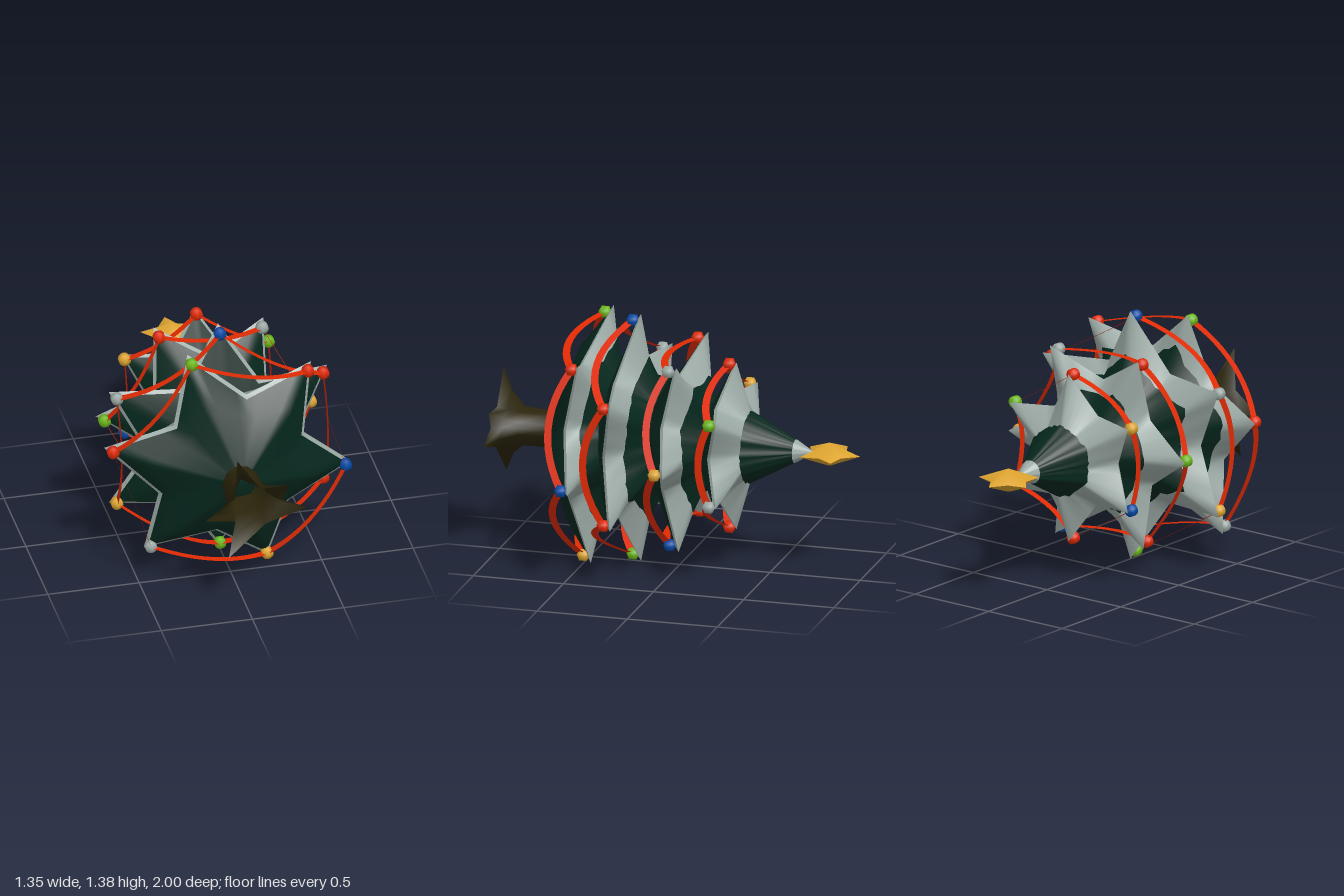
import * as THREE from 'three';

const AXIS_Y = 0.697; // the tree lies along z, its top towards -z
const RAD = Math.PI / 180;

const mat = (name, color, side = THREE.FrontSide) => {
  const m = new THREE.MeshStandardMaterial({ color, side });
  m.name = name;
  return m;
};

function surface(pos, idx) {
  const g = new THREE.BufferGeometry();
  g.setAttribute('position', new THREE.Float32BufferAttribute(pos, 3));
  g.setIndex(idx);
  g.computeVertexNormals();
  return g;
}

// Surface through rings of points, each ring counter-clockwise seen from +z
function loft(rings, closed = true) {
  const n = rings[0].length, idx = [];
  for (let i = 0; i < rings.length - 1; i++) {
    for (let j = 0; j < (closed ? n : n - 1); j++) {
      const a = i * n + j, b = i * n + (j + 1) % n;
      idx.push(a, a + n, b + n, a, b + n, b);
    }
  }
  return surface(rings.flat(2), idx);
}

// Six-pointed ring: tips at (rt, zt), valleys at (rv, zv), straight edges between
const STEPS = 5;
function starRing([rt, zt, rv = rt, zv = zt], phase, jitter = () => 0) {
  const pts = [];
  const corner = (i) => {
    const a = (phase + i * 30) * RAD, r = i % 2 ? rv : rt;
    return [r * Math.cos(a), r * Math.sin(a), i % 2 ? zv : zt];
  };
  for (let k = 0; k < 12; k++) {
    const p = corner(k), q = corner(k + 1);
    for (let s = 0; s < STEPS; s++) {
      const t = s / STEPS, f = 1 + jitter();
      pts.push([(p[0] + (q[0] - p[0]) * t) * f, (p[1] + (q[1] - p[1]) * t) * f, p[2] + (q[2] - p[2]) * t]);
    }
  }
  return pts;
}

export function createModel() {
  const root = new THREE.Group();
  root.name = 'decoratedTree';
  const tree = new THREE.Group();
  tree.name = 'tree';
  tree.position.y = AXIS_Y;
  root.add(tree);

  const green = mat('needleGreen', 0x05271d);
  const snow = mat('snowGrey', 0x9caaa5);
  const bark = mat('bark', 0x2a240a, THREE.DoubleSide);
  const ribbon = mat('garlandRed', 0xe02a04, THREE.DoubleSide);
  const red = mat('baubleRed', 0xe02a06);
  const gold = mat('gold', 0xdea530);
  const blue = mat('baubleBlue', 0x0449a6);
  const lime = mat('baubleLime', 0x6cb81a);

  const add = (name, geometry, material, parent = tree) => {
    const m = new THREE.Mesh(geometry, material);
    m.name = name;
    parent.add(m);
    return m;
  };

  let seed = 7;
  const ragged = () => {
    seed = (seed * 16807) % 2147483647;
    return (seed / 2147483647 - 0.5) * 0.08;
  };

  // Branch tiers from the bottom up; ring values are [tip r, tip z, valley r, valley z]
  const tiers = [
    { phase: -11.5, under: [[0, 0.72], [0.1, 0.72], [0.46, 0.592, 0.33, 0.607]], rim: [0.69, 0.43, 0.42, 0.515],
      edge: [0.5, 0.395, 0.385, 0.45], neck: [0.3, 0.33],
      ball: [0.65, 0.475], sag: 0.1, colors: [blue, red, lime, red, snow, gold] },
    { phase: 30, under: [[0.2, 0.39], [0.3, 0.375]], rim: [0.69, 0.215, 0.415, 0.295],
      edge: [0.46, 0.17, 0.35, 0.21], neck: [0.25, 0.08],
      ball: [0.652, 0.26], sag: 0.115, colors: [red, blue, snow, gold, lime, red] },
    { phase: -2, under: [[0.18, 0.12], [0.27, 0.1]], rim: [0.6, -0.075, 0.36, 0],
      edge: [0.37, -0.125, 0.3, -0.08], neck: [0.19, -0.19],
      ball: [0.565, -0.022], sag: 0.08, colors: [gold, snow, red, lime, red, blue] },
    { phase: 30, under: [[0.12, -0.15], [0.2, -0.17]], rim: [0.465, -0.315, 0.285, -0.25],
      edge: [0.205, -0.39, 0.19, -0.385], neck: [0.065, -0.64],
      ball: [0.455, -0.275], sag: 0.06, colors: [lime, red, gold, blue, red, snow] },
  ];

  // Bauble: round along the tree axis, hexagonal from the side
  const bauble = new THREE.SphereGeometry(0.037, 12, 3).rotateX(Math.PI / 2);

  tiers.forEach((t, i) => {
    const g = new THREE.Group();
    g.name = `tier${i + 1}`;
    tree.add(g);
    const [rt, zt, rv, zv] = t.rim;
    const outer = starRing(t.rim, t.phase);
    const inner = starRing([rt * 0.955, zt + 0.02, rv * 0.955, zv + 0.02], t.phase);
    const edge = starRing(t.edge, t.phase, ragged);
    add('underside', loft([...t.under.map((u) => starRing(u, t.phase)), inner]), green, g);
    add('snowRim', loft([inner, outer]), snow, g);
    add('snowTop', loft([outer, edge]), snow, g);
    add('needles', loft([edge, starRing(t.neck, t.phase)]), green, g);

    // Baubles on the tips, flat garlands swagged between them
    const point = (k) => {
      const a = (t.phase + k * 60) * RAD;
      return new THREE.Vector3(t.ball[0] * Math.cos(a), t.ball[0] * Math.sin(a), t.ball[1]);
    };
    t.colors.forEach((c, k) => {
      const p = point(k), q = point(k + 1);
      add('bauble', bauble, c, g).position.copy(p);
      const dir = q.clone().sub(p), len = dir.length();
      dir.normalize();
      const sides = [[], []];
      for (let s = 0; s <= 12; s++) {
        const u = s / 12, slope = 4 * t.sag * (1 - 2 * u) / len, n = Math.hypot(1, slope);
        const c0 = p.clone().lerp(q, u);
        c0.z += 4 * t.sag * u * (1 - u);
        [-1, 1].forEach((d, e) => {
          const w = d * 0.02 / n;
          sides[e].push(c0.clone().addScaledVector(dir, -slope * w).add(new THREE.Vector3(0, 0, w)).toArray());
        });
      }
      add('garland', loft(sides, false), ribbon, g);
    });
  });

  // Snow cap at the top of the tree
  add('snowCap', loft([starRing([0.065, -0.64], 30), starRing([0.001, -0.75], 30)]), snow);

  // Trunk flaring into five uneven roots, open at the bottom: [angle, reach]
  const feet = [[-6, 0.3], [12, 0.17], [31, 0.235], [68, 0.125], [105, 0.32], [140, 0.12],
    [189, 0.26], [215, 0.115], [246, 0.318], [305, 0.125]];
  const trunkRing = (z, spread) => feet.map(([a, r]) => {
    const d = 0.1 + (r - 0.1) * spread;
    return [d * Math.cos(a * RAD), d * Math.sin(a * RAD), z];
  });
  const trunk = loft([trunkRing(1, 1), trunkRing(0.945, 0.42), trunkRing(0.87, 0.06), trunkRing(0.71, 0)]);
  add('trunk', trunk, bark);

  // Plump five-pointed star on the top, each half smooth with a sharp edge between
  const starPos = [], starIdx = [];
  for (const side of [1, -1]) {
    const base = starPos.length / 3;
    starPos.push(0, 0.065 * side, 0);
    for (let k = 0; k < 10; k++) {
      const a = k * 36 * RAD * side, r = k % 2 ? 0.098 : 0.17;
      starPos.push(-r * Math.sin(a), 0, -r * Math.cos(a));
      starIdx.push(base, base + 1 + k, base + 1 + (k + 1) % 10);
    }
  }
  add('topStar', surface(starPos, starIdx), gold).position.z = -0.83;

  return root;
}
